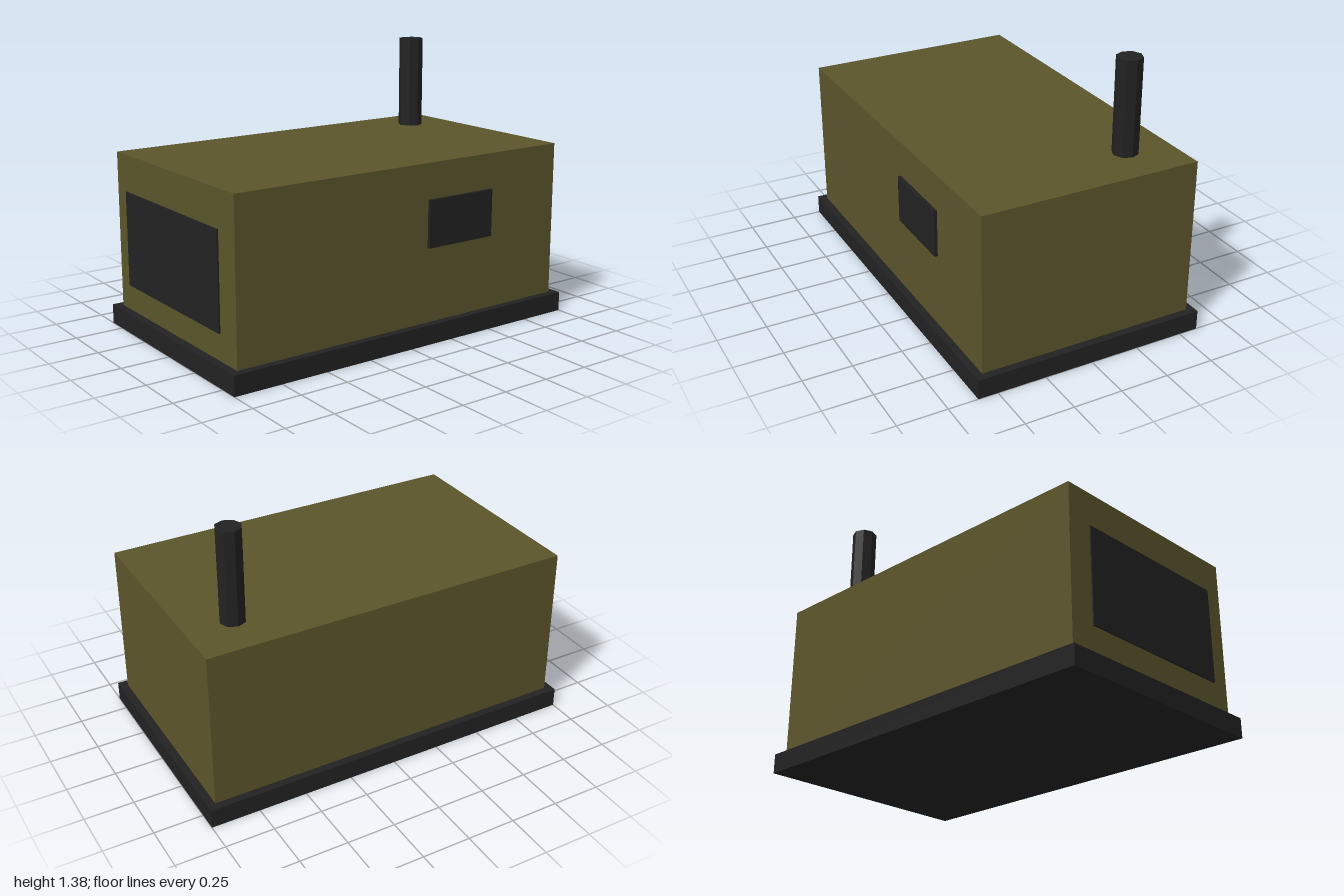
import * as THREE from 'three';

export function createModel() {
  const group = new THREE.Group();
  const olive = new THREE.MeshStandardMaterial({ color: 0x5c552b });
  olive.name = 'olive';
  const charcoal = new THREE.MeshStandardMaterial({ color: 0x222222, flatShading: true });
  charcoal.name = 'charcoal';

  const add = (name, geometry, material, x, y, z) => {
    const mesh = new THREE.Mesh(geometry, material);
    mesh.name = name;
    mesh.position.set(x, y, z);
    group.add(mesh);
  };
  const box = (w, h, d) => new THREE.BoxGeometry(w, h, d);

  // Skid base and housing
  add('base', box(2, 0.1, 1.2), charcoal, 0, 0.05, 0);
  add('housing', box(1.92, 0.8, 1.12), olive, 0, 0.5, 0);

  // Control panel on the front
  add('controlPanel', box(0.4, 0.24, 0.016), charcoal, 0.32, 0.6, 0.568);

  // Eight-sided exhaust stack
  add('exhaustStack', new THREE.CylinderGeometry(0.064, 0.064, 0.48, 8), charcoal, 0.72, 1.14, -0.32);

  // Upright grille slats, standing just clear of the end wall
  const slats = 6, grilleWidth = 0.88, slatWidth = grilleWidth / slats;
  for (let i = 0; i < slats; i++) {
    const z = -grilleWidth / 2 + (i + 0.5) * slatWidth;
    add('grilleSlat' + (i + 1), box(0.008, 0.48, slatWidth), charcoal, -0.975, 0.48, z);
  }
  return group;
}
